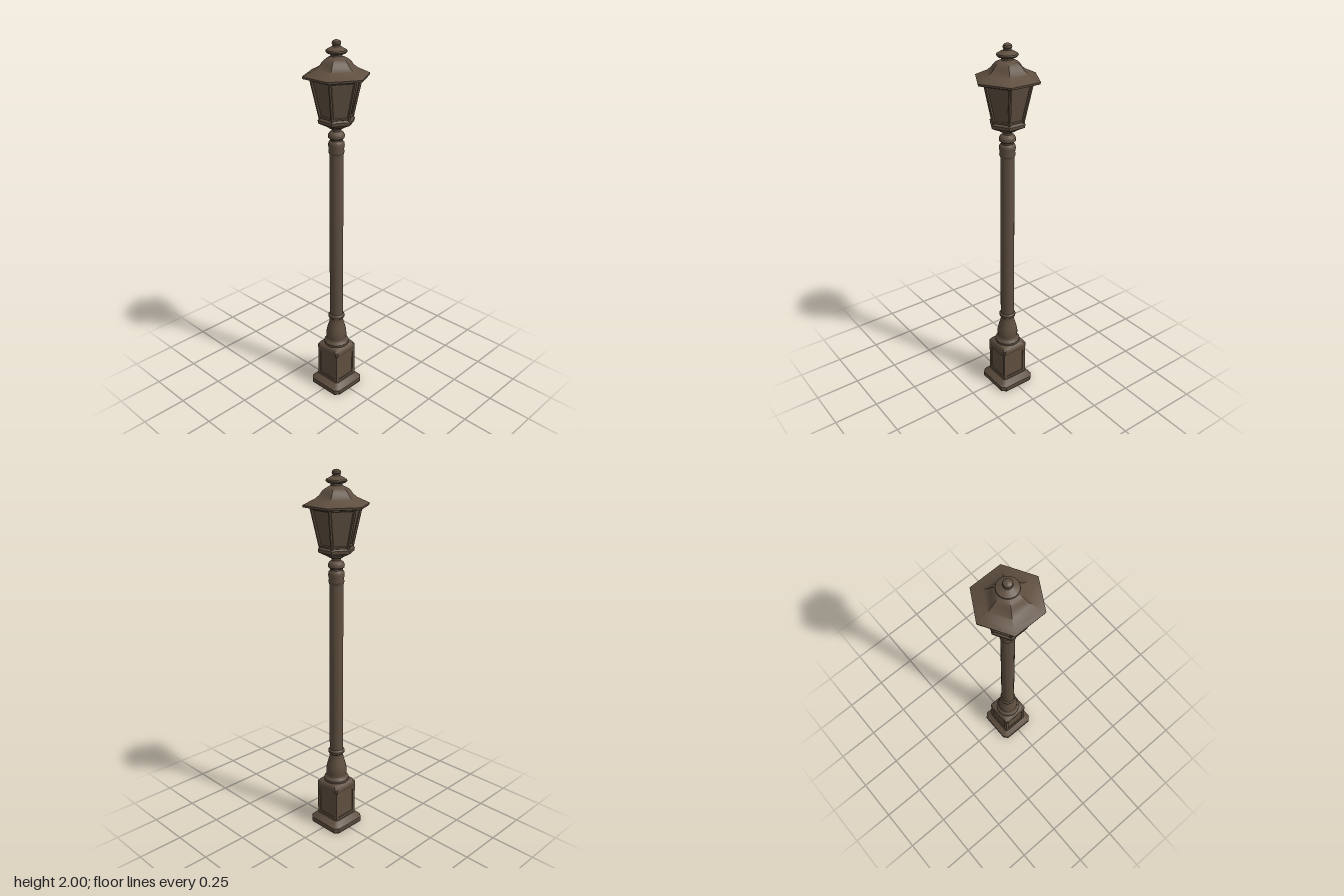
import * as THREE from 'three';
import { toCreasedNormals } from 'three/addons/utils/BufferGeometryUtils.js';

const iron = new THREE.MeshStandardMaterial({ color: 0x5f4f40 });
iron.name = 'weathered bronze';

const mesh = (name, geometry, crease = 0.6) => {
  const m = new THREE.Mesh(toCreasedNormals(geometry, crease), iron);
  m.name = name;
  return m;
};

// Turned or hexagonal part from [radius, y] pairs, listed from bottom to top
const turned = (name, profile, sides, crease) =>
  mesh(name, new THREE.LatheGeometry(profile.map(([r, y]) => new THREE.Vector2(r, y)), sides), crease);

// Square part with cut corners, lofted from [half width, corner cut, y] sections
function squareLoft(name, sections) {
  const pos = [], idx = [];
  for (const [h, c, y] of sections) {
    const k = h - c;
    for (const [x, z] of [[k, h], [h, k], [h, -k], [k, -h], [-k, -h], [-h, -k], [-h, k], [-k, h]]) pos.push(x, y, z);
  }
  const n = sections.length;
  for (let s = 0; s < n - 1; s++) {
    for (let i = 0; i < 8; i++) {
      const j = (i + 1) % 8, a = s * 8 + i, b = s * 8 + j;
      idx.push(a, b, b + 8, a, b + 8, a + 8);
    }
  }
  const top = (n - 1) * 8;
  for (let i = 1; i < 7; i++) idx.push(0, i + 1, i, top, top + i, top + i + 1);
  const g = new THREE.BufferGeometry();
  g.setAttribute('position', new THREE.Float32BufferAttribute(pos, 3));
  g.setIndex(idx);
  return mesh(name, g);
}

// Round bar between two points
function bar(name, a, b, r) {
  const m = mesh(name, new THREE.CylinderGeometry(r, r, a.distanceTo(b), 6));
  m.position.copy(a).lerp(b, 0.5);
  m.quaternion.setFromUnitVectors(new THREE.Vector3(0, 1, 0), b.clone().sub(a).normalize());
  return m;
}

export function createModel() {
  const lamp = new THREE.Group();
  lamp.name = 'streetLamp';

  // Square pedestal
  lamp.add(squareLoft('plinth', [
    [0.106, 0.022, 0], [0.11, 0.022, 0.006], [0.11, 0.022, 0.032], [0.098, 0.018, 0.046], [0.08, 0.012, 0.062],
  ]));
  lamp.add(squareLoft('pedestal', [[0.07, 0.005, 0.05], [0.07, 0.005, 0.25]]));
  lamp.add(squareLoft('pedestalCap', [
    [0.075, 0.006, 0.235], [0.08, 0.01, 0.247], [0.08, 0.01, 0.262], [0.07, 0.016, 0.278], [0.055, 0.018, 0.285],
  ]));
  // Raised frame round each pedestal panel
  for (let i = 0; i < 4; i++) {
    const side = new THREE.Group();
    side.name = 'pedestalFrame';
    side.rotation.y = i * Math.PI / 2;
    for (const x of [-0.066, 0.066]) {
      const stile = mesh('stile', new THREE.BoxGeometry(0.018, 0.19, 0.01));
      stile.position.set(x, 0.148, 0.07);
      side.add(stile);
    }
    for (const y of [0.066, 0.233]) {
      const rail = mesh('rail', new THREE.BoxGeometry(0.12, 0.022, 0.01));
      rail.position.set(0, y, 0.07);
      side.add(rail);
    }
    lamp.add(side);
  }

  // Turned foot, shaft and collars
  lamp.add(turned('foot', [
    [0, 0.27], [0.062, 0.272], [0.07, 0.284], [0.07, 0.296], [0.06, 0.304], [0.055, 0.315], [0.058, 0.335],
    [0.057, 0.358], [0.051, 0.385], [0.042, 0.415], [0.037, 0.44], [0.037, 0.448], [0.045, 0.455],
    [0.046, 0.468], [0.037, 0.478],
  ], 20));
  lamp.add(turned('shaft', [[0.038, 0.44], [0.036, 1.46]], 20));
  lamp.add(turned('upperCollar', [
    [0.036, 1.425], [0.042, 1.44], [0.039, 1.455], [0.043, 1.475], [0.041, 1.49], [0.033, 1.5], [0.033, 1.508],
    [0.042, 1.515], [0.043, 1.53], [0.036, 1.543], [0.024, 1.55], [0.024, 1.565], [0.035, 1.575], [0, 1.58],
  ], 20));

  // Hexagonal lantern with corners on the z axis
  lamp.add(turned('lanternBase', [
    [0, 1.56], [0.034, 1.563], [0.05, 1.574], [0.074, 1.585], [0.094, 1.595], [0.097, 1.612], [0.085, 1.622], [0, 1.622],
  ], 6));
  lamp.add(turned('lanternPanes', [[0.077, 1.615], [0.124, 1.825]], 6));
  for (let i = 0; i < 6; i++) {
    const corner = (j, r, y) => {
      const a = j * Math.PI / 3;
      return new THREE.Vector3(r * Math.sin(a), y, r * Math.cos(a));
    };
    lamp.add(bar('cornerPost', corner(i, 0.082, 1.615), corner(i, 0.13, 1.825), 0.0085));
    lamp.add(bar('lowerRail', corner(i, 0.082, 1.626), corner(i + 1, 0.082, 1.626), 0.007));
    lamp.add(bar('upperRail', corner(i, 0.128, 1.815), corner(i + 1, 0.128, 1.815), 0.007));
  }
  lamp.add(turned('roof', [
    [0, 1.815], [0.135, 1.815], [0.17, 1.821], [0.173, 1.832], [0.145, 1.845], [0.108, 1.862], [0.087, 1.878],
    [0.075, 1.895], [0.06, 1.908], [0.04, 1.918], [0, 1.922],
  ], 6));

  // Finial
  lamp.add(turned('finial', [
    [0.042, 1.912], [0.03, 1.922], [0.029, 1.93], [0.046, 1.936], [0.054, 1.944], [0.052, 1.951], [0.034, 1.961],
    [0.021, 1.968], [0.019, 1.974], [0.023, 1.981], [0.021, 1.991], [0.012, 1.998], [0, 2],
  ], 20));

  return lamp;
}
